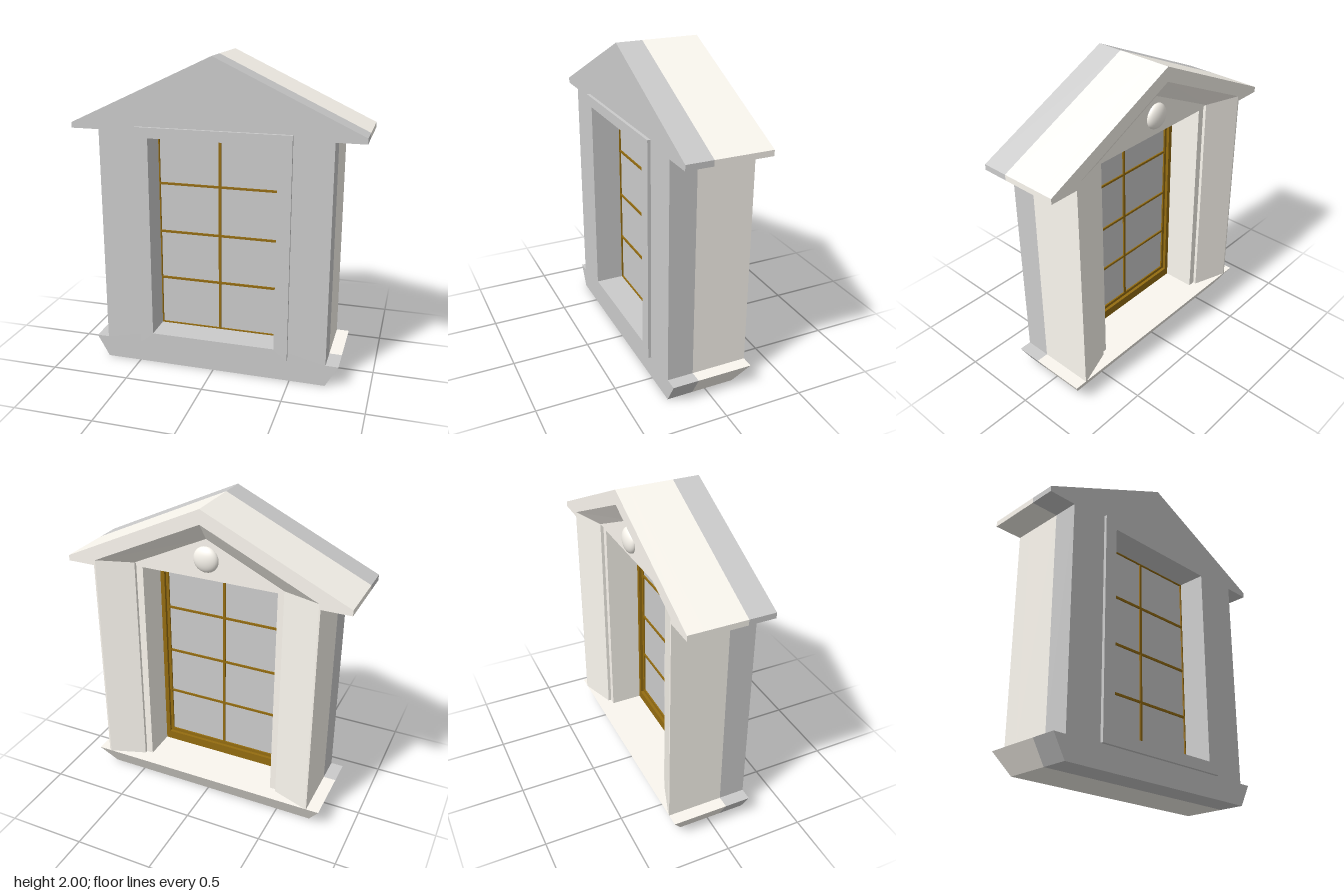
import * as THREE from 'three';

const paint = (color) => new THREE.MeshStandardMaterial({ color });
const GREY = paint(0xcccccc);
const STONE = paint(0xfbf7ef);
const WOOD = paint(0x946c10);

const BACK = -0.27, RECESS = -0.19, TRIM = -0.17, MID = 0.085, FRONT = 0.25;

const path = (points) => points.map(([x, y]) => new THREE.Vector2(x, y));
const mirror = (points) => points.map(([x, y]) => [-x, y]).reverse();
const rect = (x, y0, y1) => [[x, y0], [x, y1], [-x, y1], [-x, y0]];

// Right half of the gabled outline, above the sill
const gable = [[0.725, 0.14], [0.725, 1.54], [0.905, 1.54], [0.905, 1.575]];

// Flat outline pushed from z0 to z1, with an optional hole
function slab(points, z0, z1, hole) {
  const shape = new THREE.Shape(path(points));
  if (hole) shape.holes.push(new THREE.Path(path(hole)));
  const geometry = new THREE.ExtrudeGeometry(shape, { depth: z1 - z0, bevelEnabled: false });
  return geometry.translate(0, 0, z0);
}

// Gabled arch, open at the bottom, with the given inner outline
const arch = (inner) => [...gable, [0, 2], ...mirror(gable), ...inner];

export function createModel() {
  const group = new THREE.Group();
  const add = (name, geometry, material) => {
    const mesh = new THREE.Mesh(geometry, material);
    mesh.name = name;
    group.add(mesh);
    return mesh;
  };

  // Front facade with its window opening and raised surround
  const opening = rect(0.4, 0.215, 1.505);
  const half = [[0.725, 0], [0.805, 0.14], ...gable];
  add('frontFacade', slab([...half, [0, 2], ...mirror(half)], MID, FRONT, opening), GREY);
  add('frontSurround', slab(rect(0.485, 0.145, 1.57), FRONT, 0.27, opening), GREY);

  // Rear pilasters and gable, splayed inwards towards the recess
  const splay = slab(
    arch([[-0.715, 0.14], [-0.715, 1.574], [0, 1.91], [0.715, 1.574], [0.715, 0.14]]), BACK, RECESS);
  const p = splay.attributes.position;
  for (let i = 0; i < p.count; i++) {
    const x = p.getX(i), y = p.getY(i);
    if (p.getZ(i) < RECESS - 0.01 || Math.abs(x) > 0.72 || y > 1.95) continue;
    if (Math.abs(x) < 0.01) p.setY(i, 1.8);
    else p.setXY(i, Math.sign(x) * 0.485, y < 1 ? 0.14 : 1.57);
  }
  splay.computeVertexNormals();
  add('rearSplay', splay, STONE);

  // Wall behind the splay: pediment face, then the stepped surround and jambs
  add('pediment', slab(arch(rect(0.485, 0.14, 1.57).reverse()), RECESS, TRIM), STONE);
  add('rearSurround', slab(arch(rect(0.44, 0.14, 1.54).reverse()), TRIM, MID), STONE);

  // Rear sill, tapering towards its base
  const sill = new THREE.BoxGeometry(1.61, 0.14, MID - BACK).toNonIndexed();
  sill.translate(0, 0.07, (MID + BACK) / 2);
  const s = sill.attributes.position;
  for (let i = 0; i < s.count; i++) {
    if (s.getY(i) > 0.07) continue;
    s.setX(i, Math.sign(s.getX(i)) * 0.725);
    if (s.getZ(i) < 0) s.setZ(i, RECESS);
  }
  sill.computeVertexNormals();
  add('rearSill', sill, STONE);

  // Round boss on the pediment
  const boss = add('pedimentBoss', new THREE.SphereGeometry(0.08, 32, 20), STONE);
  boss.scale.z = 0.5;
  boss.position.set(0, 1.675, RECESS);

  // Wooden window frame and sash
  add('windowFrame', slab(rect(0.44, 0.14, 1.54), 0.04, MID, rect(0.412, 0.2, 1.515)), WOOD);
  add('windowSash', slab(rect(0.412, 0.2, 1.515), 0.06, MID + 0.001, rect(0.393, 0.222, 1.498)), WOOD);

  // Glazing bars
  const bar = (name, w, h, y) => {
    add(name, new THREE.BoxGeometry(w, h, 0.024), WOOD).position.set(0, y, 0.073);
  };
  bar('verticalBar', 0.016, 1.276, 0.86);
  for (const y of [0.54, 0.86, 1.18]) bar('horizontalBar', 0.786, 0.014, y);

  // Panes
  const panes = add('windowPanes', new THREE.BoxGeometry(0.79, 1.28, 0.006), GREY);
  panes.position.set(0, 0.86, 0.073);

  return group;
}
